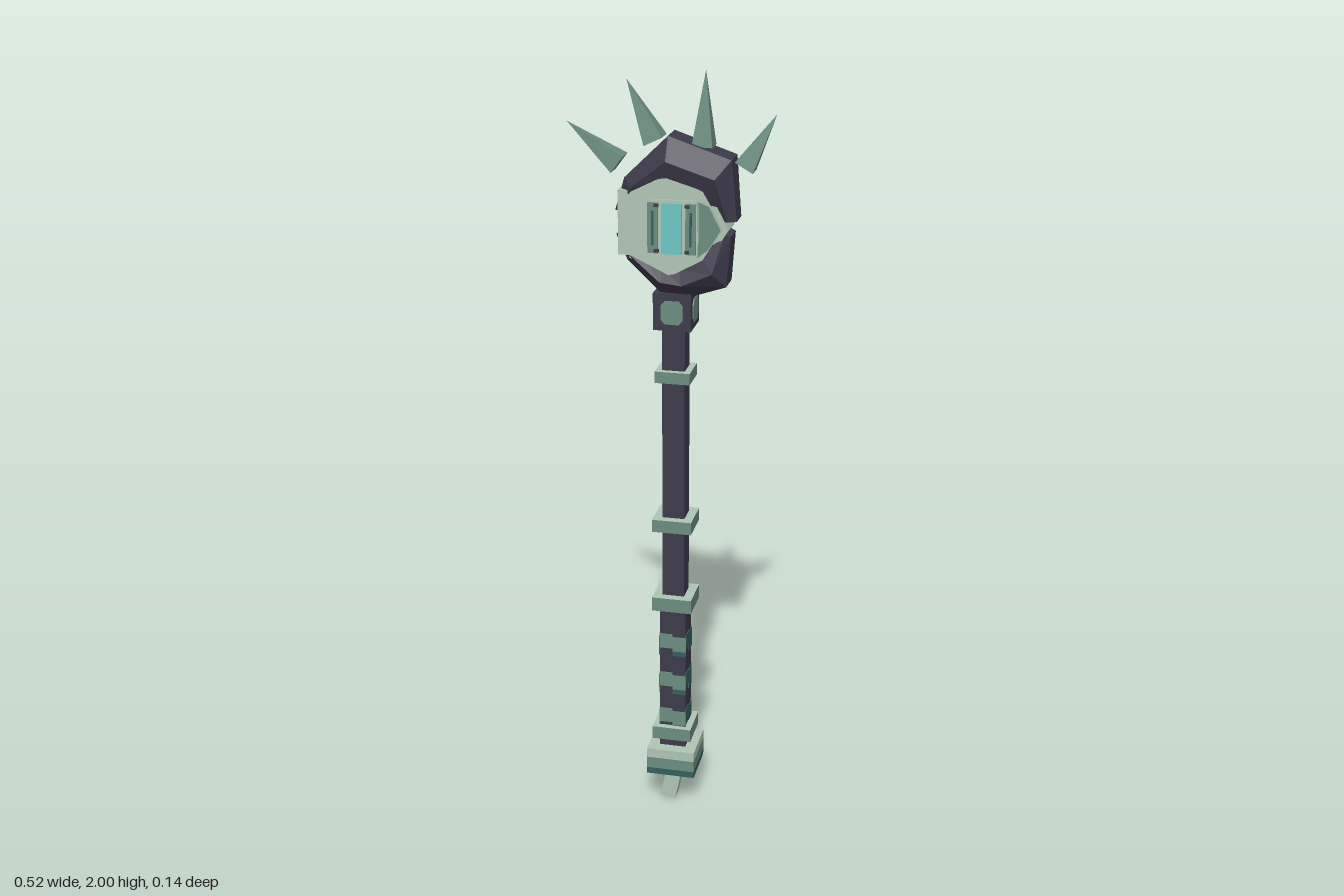
import * as THREE from 'three';

const mat = (name, color) => {
  const m = new THREE.MeshStandardMaterial({ color });
  m.name = name;
  return m;
};

export function createModel() {
  const dark = mat('dark iron', 0x3e3b4b);
  const mid = mat('weathered green', 0x6c8e80);
  const pale = mat('pale green', 0xb0c6b6);
  const teal = mat('deep teal', 0x35605f);
  const cyan = mat('glowing cyan', 0x6cc8c6);

  const model = new THREE.Group();
  model.name = 'mace';
  const CX = 0.012; // axis of the shaft

  const add = (name, geo, material, parent = model) => {
    const m = new THREE.Mesh(geo, material);
    m.name = name;
    parent.add(m);
    return m;
  };
  const box = (name, material, w, h, d, x, y, z = 0, parent = model) => {
    const m = add(name, new THREE.BoxGeometry(w, h, d), material, parent);
    m.position.set(x, y, z);
    return m;
  };
  // Square post or ring between two heights on the shaft axis
  const post = (name, material, w, y0, y1) =>
    box(name, material, w, y1 - y0, w, CX, (y0 + y1) / 2);
  // Flat outline extruded evenly about z = 0
  const slab = (pts, depth) =>
    new THREE.ExtrudeGeometry(new THREE.Shape(pts.map(p => new THREE.Vector2(...p))),
      { depth, bevelEnabled: false }).translate(0, 0, -depth / 2);
  const flat = geo => {
    const g = geo.index ? geo.toNonIndexed() : geo;
    g.computeVertexNormals();
    return g;
  };

  // Shaft and grip
  post('shaft', dark, 0.058, 0.58, 1.38);
  post('grip', dark, 0.07, 0.17, 0.6);

  // Grip wraps: green above a teal lower edge, stepped across each face
  for (const y of [0.265, 0.375, 0.49]) {
    const wrap = new THREE.Group();
    wrap.name = 'gripWrap';
    model.add(wrap);
    for (let i = 0; i < 4; i++) {
      const side = new THREE.Group();
      side.rotation.y = i * Math.PI / 2;
      side.position.set(CX, y, 0);
      wrap.add(side);
      const main = i % 2 ? teal : mid;
      box('wrapLeft', main, 0.036, 0.042, 0.004, -0.018, 0.006, 0.035, side);
      box('wrapRight', main, 0.036, 0.042, 0.004, 0.018, -0.002, 0.035, side);
      box('wrapEdge', teal, 0.036, 0.014, 0.004, 0.018, -0.03, 0.035, side);
    }
  }

  // Rings with a worn pale top
  const ringMats = [mid, mid, pale, teal, mid, mid];
  for (const [y, w, h] of [[0.222, 0.105, 0.036], [0.61, 0.105, 0.038],
    [0.835, 0.103, 0.034], [1.24, 0.09, 0.03]]) {
    post('ring', ringMats, w, y - h / 2, y + h / 2);
  }

  // Pommel and its bent tip
  post('pommelTop', pale, 0.13, 0.15, 0.177);
  post('pommelMiddle', mid, 0.13, 0.118, 0.15);
  post('pommelBottom', teal, 0.13, 0.1, 0.118);
  const tip = box('pommelTip', [pale, mid, pale, pale, pale, mid],
    0.042, 0.105, 0.048, 0.006, 0.056);
  tip.rotation.z = -0.2;

  // Collar with a chamfered stud on each face
  post('collar', dark, 0.096, 1.365, 1.46);
  const stud = slab([[-0.028, -0.018], [-0.018, -0.03], [0.018, -0.03], [0.028, -0.018],
    [0.028, 0.018], [0.018, 0.03], [-0.018, 0.03], [-0.028, 0.018]], 0.008);
  for (let i = 0; i < 4; i++) {
    const a = i * Math.PI / 2;
    const s = add('collarStud', stud, mid);
    s.position.set(CX + Math.sin(a) * 0.047, 1.412, Math.cos(a) * 0.047);
    s.rotation.y = a;
  }

  // Curved jaw: stations of [outer x, outer y, inner x, inner y, edge depth, ridge depth]
  const jaw = (name, stations) => {
    const loops = stations.map(([ox, oy, ix, iy, e, w]) => {
      const mx = (ox + ix) / 2, my = (oy + iy) / 2;
      return [[ox, oy, e], [mx, my, w], [ix, iy, w * 0.75],
        [ix, iy, -w * 0.75], [mx, my, -w], [ox, oy, -e]];
    });
    const pos = [];
    const tri = (...p) => p.forEach(q => pos.push(...q));
    for (let i = 0; i < loops.length - 1; i++) {
      for (let j = 0; j < 6; j++) {
        const k = (j + 1) % 6, A = loops[i], B = loops[i + 1];
        tri(A[j], A[k], B[k]);
        tri(A[j], B[k], B[j]);
      }
    }
    const first = loops[0], last = loops[loops.length - 1];
    for (let j = 1; j < 5; j++) {
      tri(first[0], first[j + 1], first[j]);
      tri(last[0], last[j], last[j + 1]);
    }
    const g = new THREE.BufferGeometry();
    g.setAttribute('position', new THREE.Float32BufferAttribute(pos, 3));
    add(name, flat(g), dark);
  };
  jaw('upperJaw', [
    [-0.137, 1.655, -0.1, 1.66, 0.015, 0.03],
    [-0.11, 1.74, -0.07, 1.7, 0.03, 0.052],
    [0, 1.847, 0, 1.735, 0.037, 0.07],
    [0.155, 1.795, 0.085, 1.71, 0.037, 0.07],
    [0.168, 1.645, 0.125, 1.645, 0.03, 0.042]]);
  jaw('lowerJaw', [
    [0.155, 1.608, 0.125, 1.615, 0.03, 0.042],
    [0.145, 1.482, 0.085, 1.56, 0.035, 0.07],
    [0.05, 1.45, 0.03, 1.525, 0.035, 0.07],
    [-0.02, 1.46, -0.01, 1.525, 0.035, 0.066],
    [-0.105, 1.535, -0.07, 1.56, 0.025, 0.05],
    [-0.135, 1.595, -0.1, 1.605, 0.015, 0.03]]);

  // Core disc, its snout block and the stepped boss
  add('coreDisc', slab([[-0.095, 1.545], [0.01, 1.5], [0.1, 1.545], [0.15, 1.625],
    [0.1, 1.73], [0.01, 1.77], [-0.095, 1.715]], 0.09), pale);
  box('snoutBlock', pale, 0.07, 0.16, 0.092, -0.088, 1.632);
  add('innerDisc', slab([[-0.09, 1.555], [0.01, 1.508], [0.09, 1.552], [0.135, 1.628],
    [0.09, 1.72], [0.01, 1.762], [-0.09, 1.71]], 0.114), pale);
  box('boss', pale, 0.126, 0.14, 0.124, 0.015, 1.628);

  // Dark notches on the end of the snout
  for (const y of [1.595, 1.665]) box('snoutNotch', dark, 0.006, 0.03, 0.05, -0.123, y);

  // Painted face details, the same front and back
  const cheek = slab([[0.08, 1.56], [0.105, 1.58], [0.134, 1.628], [0.105, 1.685],
    [0.08, 1.695]], 0.004);
  for (const s of [1, -1]) {
    const face = new THREE.Group();
    face.name = s > 0 ? 'frontFace' : 'backFace';
    model.add(face);
    add('cheek', cheek, mid, face).position.z = s * 0.058;
    box('gem', cyan, 0.05, 0.125, 0.008, 0.015, 1.628, s * 0.064, face);
    for (const side of [-1, 1]) {
      box('bracket', mid, 0.026, 0.125, 0.006, 0.015 + side * 0.047, 1.628, s * 0.0625, face);
      box('bracketSlot', teal, 0.006, 0.085, 0.004, 0.015 + side * 0.047, 1.628, s * 0.0645, face);
      for (const y of [1.572, 1.684]) {
        box('bracketPin', dark, 0.012, 0.008, 0.004, 0.015 + side * 0.038, y, s * 0.0645, face);
      }
    }
  }

  // Crown of four-sided spikes: base centre to tip
  for (const [bx, by, tx, ty] of [[-0.13, 1.768, -0.26, 1.865], [-0.04, 1.828, -0.11, 1.972],
    [0.08, 1.82, 0.084, 2.0], [0.182, 1.775, 0.256, 1.902]]) {
    const dir = new THREE.Vector3(tx - bx, ty - by, 0);
    const h = dir.length();
    const g = flat(new THREE.ConeGeometry(0.036, h, 4).rotateY(Math.PI / 4));
    const spike = add('spike', g, mid);
    spike.position.set((bx + tx) / 2, (by + ty) / 2, 0);
    spike.quaternion.setFromUnitVectors(new THREE.Vector3(0, 1, 0), dir.normalize());
  }

  return model;
}
